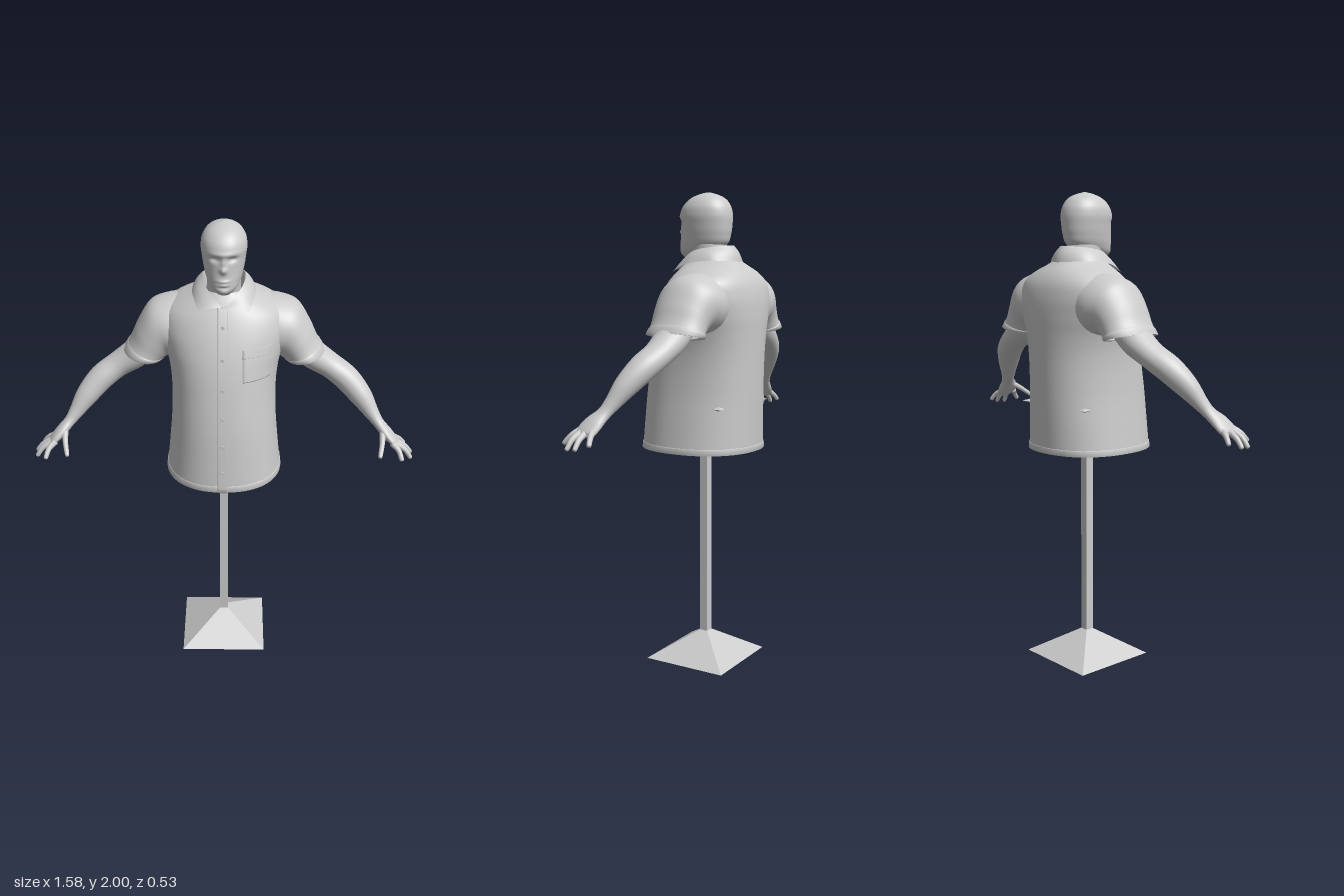
import * as THREE from 'three';

const V = (x, y, z) => new THREE.Vector3(x, y, z);
const skinMat = new THREE.MeshStandardMaterial({ color: 0xcccccc });
const cloth = new THREE.MeshStandardMaterial({ color: 0xcccccc, side: THREE.DoubleSide });
const flat = new THREE.MeshStandardMaterial({ color: 0xcccccc, flatShading: true });

// Smooth lookup in a table whose rows are [key, ...values]
function table(rows) {
  const size = rows[0].length - 1;
  const it = new THREE.CubicInterpolant(rows.map(r => r[0]), rows.flatMap(r => r.slice(1)), size);
  return t => [...it.evaluate(t)];
}

// Surface through rows of points; closed joins each row into a ring
function skin(rows, { closed = true, start = false, end = false } = {}) {
  const n = rows[0].length, m = rows.length, index = [];
  const pts = rows.flat();
  const cols = closed ? n : n - 1;
  for (let i = 0; i < m - 1; i++) for (let j = 0; j < cols; j++) {
    const k = (j + 1) % n, a = i * n + j, b = i * n + k, c = b + n, d = a + n;
    index.push(a, b, c, a, c, d);
  }
  const cap = (row, first) => {
    const o = row * n, center = pts.length;
    pts.push(rows[row].reduce((s, p) => s.add(p), V(0, 0, 0)).divideScalar(n));
    for (let j = 0; j < n; j++) {
      const a = o + j, b = o + (j + 1) % n;
      index.push(center, ...(first ? [b, a] : [a, b]));
    }
  };
  if (start) cap(0, true);
  if (end) cap(m - 1, false);
  const g = new THREE.BufferGeometry().setFromPoints(pts);
  g.setIndex(index);
  g.computeVertexNormals();
  return g;
}

function mirrored(geo) {
  const g = geo.clone().scale(-1, 1, 1), ix = g.index.array;
  for (let i = 0; i < ix.length; i += 3) [ix[i], ix[i + 1]] = [ix[i + 1], ix[i]];
  g.computeVertexNormals();
  return g;
}

// Tapered limb through [x, y, z, halfWidth, halfThickness]
function limb(keys, sides = 24, steps = 6) {
  const f = table(keys.map((k, i) => [i, ...k])), last = keys.length - 1, count = last * steps;
  const rows = [];
  for (let i = 0; i <= count; i++) {
    const t = i / steps, k = f(t);
    const T = V(...f(Math.min(t + 0.05, last))).sub(V(...f(Math.max(t - 0.05, 0)))).normalize();
    const e1 = V(0, 0, 1).addScaledVector(T, -T.z).normalize(), e2 = T.clone().cross(e1);
    rows.push(Array.from({ length: sides }, (_, j) => {
      const a = j / sides * Math.PI * 2;
      return V(...k).addScaledVector(e1, k[3] * Math.cos(a)).addScaledVector(e2, k[4] * Math.sin(a));
    }));
  }
  return skin(rows, { start: true, end: true });
}

// Horizontal ring: half width, front z, back z, z of the widest point
function ring(y, [hx, zf, zb, zc], power, n = 64, k = 1) {
  const sp = v => Math.sign(v) * Math.abs(v) ** (2 / power);
  return Array.from({ length: n }, (_, j) => {
    const a = j / n * Math.PI * 2, s = sp(Math.sin(a)), c = sp(Math.cos(a));
    return V(hx * s * k, y, zc + (c > 0 ? zf - zc : zc - zb) * c * k);
  });
}
const levels = (y0, y1, n) => Array.from({ length: n + 1 }, (_, i) => y0 + (y1 - y0) * i / n);

// Shirt body: y, half width, front, back, widest z
const POWER = 2.25;
const torso = table([
  [0.94, 0.24, 0.25, -0.255, 0], [1.05, 0.229, 0.242, -0.258, 0], [1.2, 0.216, 0.228, -0.262, 0],
  [1.35, 0.215, 0.203, -0.265, -0.02], [1.43, 0.226, 0.186, -0.267, -0.04], [1.5, 0.245, 0.166, -0.268, -0.06],
  [1.58, 0.258, 0.136, -0.262, -0.08], [1.64, 0.238, 0.107, -0.245, -0.09], [1.68, 0.18, 0.083, -0.218, -0.085],
  [1.71, 0.115, 0.062, -0.185, -0.06], [1.73, 0.085, 0.045, -0.16, -0.05]]);
const frontZ = (x, y) => {
  const [hx, zf, , zc] = torso(y);
  return zc + (zf - zc) * Math.max(0, 1 - Math.abs(x / hx) ** POWER) ** (1 / POWER);
};

// Raised panel lying on the shirt front
function panel(x0, x1, y0, y1, lift) {
  const span = n => [0, ...levels(0, 1, n), 1];
  const us = span(10), vs = span(36);
  return skin(vs.map((v, i) => us.map((u, j) => {
    const x = x0 + (x1 - x0) * u, y = y0 + (y1 - y0) * v;
    const edge = i === 0 || j === 0 || i === vs.length - 1 || j === us.length - 1;
    return V(x, y, frontZ(x, y) + (edge ? -0.003 : lift));
  })), { closed: false });
}

// Sleeve: outer x, y, inner x, y, centre z, half depth
function sleeve() {
  const f = table([
    [0, 0.14, 1.68, 0.15, 1.42, -0.09, 0.135], [1, 0.23, 1.67, 0.19, 1.42, -0.085, 0.14],
    [2, 0.3, 1.642, 0.215, 1.425, -0.08, 0.13], [3, 0.35, 1.565, 0.23, 1.42, -0.075, 0.122],
    [4, 0.38, 1.5, 0.24, 1.415, -0.074, 0.12], [5, 0.412, 1.446, 0.25, 1.41, -0.073, 0.124]]);
  const row = (t, k = 1) => {
    const [ox, oy, ix, iy, z, h] = f(t);
    return Array.from({ length: 40 }, (_, j) => {
      const a = j / 40 * Math.PI * 2, c = Math.cos(a) * k / 2;
      return V((ox + ix) / 2 + (ox - ix) * c, (oy + iy) / 2 + (oy - iy) * c, z + h * k * Math.sin(a));
    });
  };
  // the last rows make the cuff band and its turned-in edge
  return skin([...levels(0, 4.45, 30).map(t => row(t)), row(4.47, 1.03), row(5, 1.03), row(5, 0.94), row(4.5, 0.9)]);
}

// Sheet between two curves, bulged outward
function sheet(a, b, bulge) {
  const A = new THREE.CatmullRomCurve3(a), B = new THREE.CatmullRomCurve3(b);
  return skin(levels(0, 1, 6).map(v => levels(0, 1, 48).map(u => {
    const p = A.getPoint(u).lerp(B.getPoint(u), v), k = 1 + bulge * Math.sin(v * Math.PI);
    return V(p.x * k, p.y + 0.004 * Math.sin(v * Math.PI), (p.z + 0.04) * k - 0.04);
  })), { closed: false });
}
const bothSides = half => [...half.map(p => V(...p)), ...half.slice(0, -1).reverse().map(p => V(-p[0], p[1], p[2]))];

function headGeometry() {
  const f = table([
    [1.738, 0.03, 0.085, 0.0], [1.76, 0.054, 0.1, -0.06], [1.79, 0.07, 0.099, -0.11], [1.83, 0.08, 0.095, -0.126],
    [1.87, 0.086, 0.094, -0.131], [1.91, 0.09, 0.096, -0.132], [1.95, 0.081, 0.078, -0.12],
    [1.98, 0.056, 0.042, -0.092], [1.995, 0.026, 0.003, -0.055], [2.0, 0.006, -0.018, -0.034]]);
  const g = skin(levels(1.738, 2, 70).map(y => {
    const [hx, zf, zb] = f(y);
    return ring(y, [hx, zf, zb, (zf + zb) / 2], 2.1, 72);
  }), { start: true, end: true });
  // facial relief: x, y, spread x, spread y, depth
  const bumps = [[0, 1.842, 0.012, 0.014, 0.017], [0, 1.87, 0.009, 0.018, 0.008], [0.034, 1.882, 0.018, 0.011, -0.012],
    [-0.034, 1.882, 0.018, 0.011, -0.012], [0, 1.903, 0.05, 0.009, 0.004], [0, 1.798, 0.022, 0.006, 0.006],
    [0, 1.784, 0.018, 0.005, 0.005], [0, 1.772, 0.025, 0.005, -0.004], [0, 1.752, 0.02, 0.01, 0.005]];
  const p = g.attributes.position;
  for (let i = 0; i < p.count; i++) if (p.getZ(i) > 0) {
    const x = p.getX(i), y = p.getY(i);
    const d = bumps.reduce((s, [bx, by, sx, sy, h]) => s + h * Math.exp(-(((x - bx) / sx) ** 2) - ((y - by) / sy) ** 2), 0);
    p.setZ(i, p.getZ(i) + d);
  }
  g.computeVertexNormals();
  return g;
}

export function createModel() {
  const model = new THREE.Group();
  const add = (name, geo, mat = skinMat) => {
    const m = new THREE.Mesh(geo, mat);
    m.name = name;
    model.add(m);
    return m;
  };
  const pair = (name, geo, mat) => {
    add(name + 'Left', geo, mat);
    add(name + 'Right', mirrored(geo), mat);
  };

  // Stand
  const r = Math.SQRT2;
  add('standBase', new THREE.CylinderGeometry(0.018 * r, 0.187 * r, 0.11, 4).rotateY(Math.PI / 4), flat).position.set(0, 0.055, -0.015);
  add('standPole', new THREE.BoxGeometry(0.036, 0.92, 0.036), flat).position.set(0, 0.56, -0.015);

  // Shirt
  add('shirtBody', skin(levels(0.94, 1.73, 80).map(y => ring(y, torso(y), POWER))), cloth);
  add('shirtHem', skin([[0.963, 1], [0.961, 1.012], [0.938, 1.015], [0.936, 0.985], [0.963, 0.98]]
    .reverse().map(([y, k]) => ring(y, torso(Math.max(y, 0.94)), POWER, 64, k))), cloth);
  add('bodyUnderside', skin([1.0, 1.03].map(y => ring(y, torso(y), POWER, 64, 0.985)), { start: true }));
  add('placket', panel(-0.024, 0.016, 0.938, 1.69, 0.008), cloth);
  add('chestPocket', panel(0.075, 0.185, 1.41, 1.53, 0.005), cloth);
  add('pocketFlap', panel(0.073, 0.187, 1.505, 1.537, 0.009), cloth);
  for (const y of levels(1.03, 1.62, 5)) {
    add('button', new THREE.CylinderGeometry(0.007, 0.007, 0.006, 12).rotateX(Math.PI / 2))
      .position.set(-0.004, y, frontZ(0, y) + 0.01);
  }
  pair('sleeve', sleeve(), cloth);

  // Collar: fold line, pointed outer edge and inner stand
  const fold = bothSides([[0.006, 1.69, 0.09], [0.045, 1.725, 0.065], [0.08, 1.762, 0], [0.077, 1.777, -0.08], [0, 1.784, -0.146]]);
  const outer = bothSides([[0.1, 1.674, 0.09], [0.113, 1.695, 0.05], [0.126, 1.716, -0.02], [0.105, 1.722, -0.12], [0, 1.718, -0.176]]);
  const stand = bothSides([[0.004, 1.67, 0.085], [0.045, 1.69, 0.05], [0.074, 1.7, 0], [0.07, 1.71, -0.08], [0, 1.71, -0.136]]);
  add('collar', sheet(fold, outer, 0.04), cloth);
  add('collarStand', sheet(fold, stand, 0), cloth);

  // Small loose folds at the back of the waist
  pair('looseFold', new THREE.OctahedronGeometry(1, 0).toNonIndexed().setIndex([...Array(24).keys()])
    .scale(0.035, 0.009, 0.025).rotateY(Math.PI / 4).translate(0.178, 1.13, -0.182), flat);

  // Head and neck
  add('head', headGeometry());
  add('neck', limb([[0, 1.62, -0.05, 0.075, 0.075], [0, 1.7, -0.04, 0.074, 0.068], [0, 1.76, -0.03, 0.08, 0.067],
    [0, 1.82, -0.02, 0.08, 0.068]], 40));

  // Arms and hands
  pair('arm', limb([[0.27, 1.5, -0.07, 0.075, 0.06], [0.36, 1.42, -0.072, 0.073, 0.06], [0.44, 1.367, -0.065, 0.063, 0.052],
    [0.51, 1.318, -0.04, 0.058, 0.053], [0.57, 1.255, -0.005, 0.047, 0.046], [0.615, 1.193, 0.025, 0.033, 0.031],
    [0.645, 1.155, 0.045, 0.03, 0.023], [0.68, 1.12, 0.068, 0.044, 0.022], [0.712, 1.088, 0.083, 0.046, 0.016],
    [0.724, 1.077, 0.086, 0.03, 0.007]], 28));
  const fingers = {
    thumb: [[0.66, 1.13, 0.085], [0.655, 1.105, 0.13], [0.642, 1.066, 0.186]],
    indexFinger: [[0.7, 1.095, 0.115], [0.724, 1.075, 0.14], [0.738, 1.042, 0.168]],
    middleFinger: [[0.71, 1.09, 0.1], [0.752, 1.066, 0.112], [0.782, 1.027, 0.12]],
    ringFinger: [[0.71, 1.09, 0.08], [0.755, 1.066, 0.079], [0.787, 1.03, 0.078]],
    littleFinger: [[0.7, 1.098, 0.055], [0.737, 1.076, 0.04], [0.764, 1.046, 0.028]]
  };
  for (const [name, [a, b, c]] of Object.entries(fingers)) {
    const near = b.map((v, i) => v + (c[i] - v) * 0.85);
    pair(name, limb([[...a, 0.014, 0.014], [...b, 0.011, 0.011], [...near, 0.009, 0.009], [...c, 0.003, 0.003]], 12));
  }
  return model;
}
